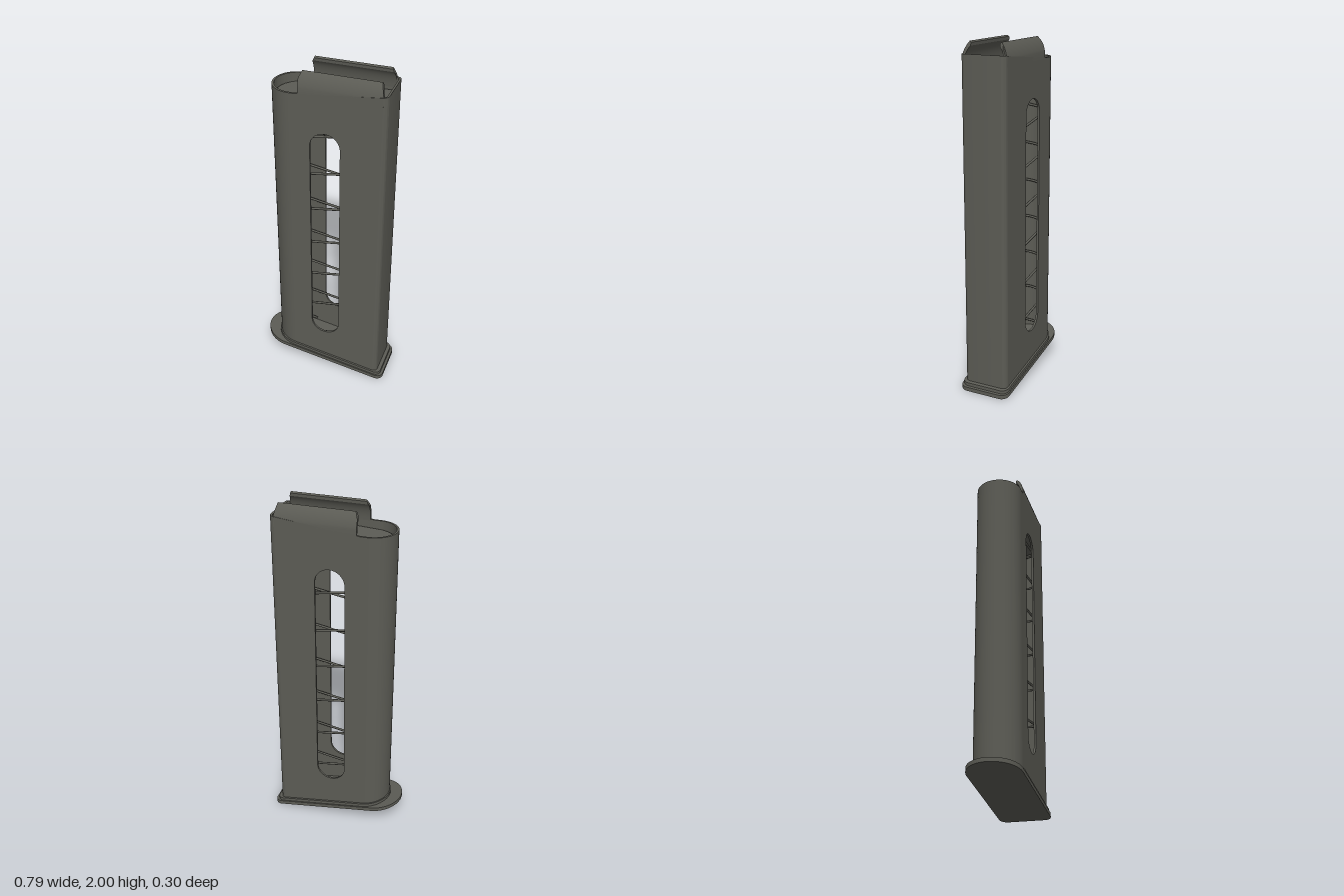
import * as THREE from 'three';
import { toCreasedNormals } from 'three/addons/utils/BufferGeometryUtils.js';

const steel = new THREE.MeshStandardMaterial({ color: 0x5c5c55 });
steel.name = 'dark steel';

const WALL = 0.012, HALF = 0.133, LEFT = -0.315, RIGHT = 0.357;
const ARC_X = LEFT + HALF, CORNER = 0.03;
const FLAT_END = RIGHT - CORNER;

// Sloped levels of the magazine
const slope = (x) => 0.079 - 0.166 * x;
const bodyBottom = (x) => slope(x) + 0.02;
const bodyTop = (x) => 1.88 + Math.max(0, x + 0.15) * 0.109;

function mesh(name, geometry) {
  const m = new THREE.Mesh(toCreasedNormals(geometry, 0.6), steel);
  m.name = name;
  return m;
}

// Outline with a semicircular rear end and rounded front corners
function dShape(x0, x1, h, r) {
  const s = new THREE.Shape();
  s.moveTo(x0 + h, -h);
  s.lineTo(x1 - r, -h);
  s.absarc(x1 - r, -h + r, r, -Math.PI / 2, 0, false);
  s.absarc(x1 - r, h - r, r, 0, Math.PI / 2, false);
  s.lineTo(x0 + h, h);
  s.absarc(x0 + h, 0, h, Math.PI / 2, Math.PI * 1.5, false);
  return s;
}

// Upright prism whose bottom and top follow two height rules
function prism(name, shape, bottom, top) {
  const g = new THREE.ExtrudeGeometry(shape, { depth: 1, bevelEnabled: false, curveSegments: 20 });
  g.rotateX(-Math.PI / 2);
  const p = g.attributes.position;
  for (let i = 0; i < p.count; i++) {
    const x = p.getX(i);
    p.setY(i, p.getY(i) > 0.5 ? top(x) : bottom(x));
  }
  return mesh(name, g);
}

// Flat side wall with the long viewing slot
function sideWall(name, side) {
  const s = new THREE.Shape();
  s.moveTo(ARC_X, bodyBottom(ARC_X));
  s.lineTo(FLAT_END, bodyBottom(FLAT_END));
  s.lineTo(FLAT_END, bodyTop(FLAT_END));
  s.lineTo(-0.15, 1.88);
  s.lineTo(ARC_X, 1.88);
  const slot = new THREE.Path(), r = 0.085, cx = 0.021;
  slot.absarc(cx, 1.587, r, 0, Math.PI, false);
  slot.absarc(cx, 0.37, r, Math.PI, Math.PI * 2, false);
  slot.closePath();
  s.holes.push(slot);
  const g = new THREE.ExtrudeGeometry(s, { depth: WALL, bevelEnabled: false, curveSegments: 16 });
  g.translate(0, 0, side > 0 ? HALF - WALL : -HALF);
  return mesh(name, g);
}

// Curved feed lip leaning inward, with slanted ends
function feedLip(name, side) {
  const s = new THREE.Shape();
  const X = (z) => -side * z;
  s.moveTo(X(0.133), 1.875);
  s.lineTo(X(0.133), 1.915);
  s.quadraticCurveTo(X(0.125), 1.965, X(0.094), 2.0);
  s.lineTo(X(0.085), 1.992);
  s.lineTo(X(0.087), 1.975);
  s.quadraticCurveTo(X(0.117), 1.945, X(0.121), 1.875);
  const g = new THREE.ExtrudeGeometry(s, { depth: 1, bevelEnabled: false, curveSegments: 8 });
  g.rotateY(Math.PI / 2);
  const p = g.attributes.position;
  for (let i = 0; i < p.count; i++) {
    const y = p.getY(i);
    const rear = -0.128 + Math.max(0, y - 1.965) * 0.45;
    const front = 0.332 - Math.max(0, y - 1.935) * 0.25;
    p.setX(i, p.getX(i) > 0.5 ? front : rear);
  }
  return mesh(name, g);
}

// Flattened coil spring rising around a rounded rectangle
function spring() {
  const loop = dShape(-0.28, 0.31, 0.1, 0.08);
  const ring = loop.getSpacedPoints(64);
  ring.pop();
  // start the count at the middle of the +z side
  let start = 0, best = 9;
  ring.forEach((q, i) => {
    const d = Math.abs(q.x - 0.02) + Math.abs(q.y + 0.1);
    if (d < best) { best = d; start = i; }
  });
  const n = ring.length, pts = [];
  for (let i = Math.round(-1.4 * n); i <= Math.round(5.4 * n); i++) {
    const q = ring[(((start + i) % n) + n) % n];
    pts.push(new THREE.Vector3(q.x, 0.488 + (0.2305 * i) / n, -q.y));
  }
  const m = new THREE.Mesh(
    new THREE.TubeGeometry(new THREE.CatmullRomCurve3(pts), 900, 0.007, 8, false), steel);
  m.name = 'spring';
  return m;
}

export function createModel() {
  const model = new THREE.Group();
  model.name = 'magazine';

  // Base plate and the raised collar around the body
  model.add(prism('basePlate', dShape(-0.395, 0.393, 0.151, 0.045),
    (x) => slope(x) - 0.01, (x) => slope(x) + 0.013));
  model.add(prism('baseCollar', dShape(-0.322, 0.378, 0.144, 0.04),
    (x) => slope(x) + 0.01, (x) => slope(x) + 0.032));

  // Body shell: rounded rear, square front, two slotted sides
  const inner = HALF - WALL;
  const rear = new THREE.Shape();
  rear.absarc(ARC_X, 0, HALF, Math.PI / 2, Math.PI * 1.5, false);
  rear.absarc(ARC_X, 0, inner, Math.PI * 1.5, Math.PI / 2, true);
  model.add(prism('rearWall', rear, bodyBottom, bodyTop));

  const front = new THREE.Shape();
  const cz = HALF - CORNER;
  front.moveTo(FLAT_END, -HALF);
  front.absarc(FLAT_END, -cz, CORNER, -Math.PI / 2, 0, false);
  front.absarc(FLAT_END, cz, CORNER, 0, Math.PI / 2, false);
  front.absarc(FLAT_END, cz, CORNER - WALL, Math.PI / 2, 0, true);
  front.absarc(FLAT_END, -cz, CORNER - WALL, 0, -Math.PI / 2, true);
  model.add(prism('frontWall', front, bodyBottom, bodyTop));

  for (const [label, side] of [['Left', 1], ['Right', -1]]) {
    model.add(sideWall('sideWall' + label, side));
    model.add(feedLip('feedLip' + label, side));
  }

  // Follower plate on top of the spring
  model.add(prism('follower', dShape(-0.296, 0.326, 0.113, 0.02),
    () => 1.72, (x) => 1.845 + 0.06 * x));
  model.add(spring());

  return model;
}
